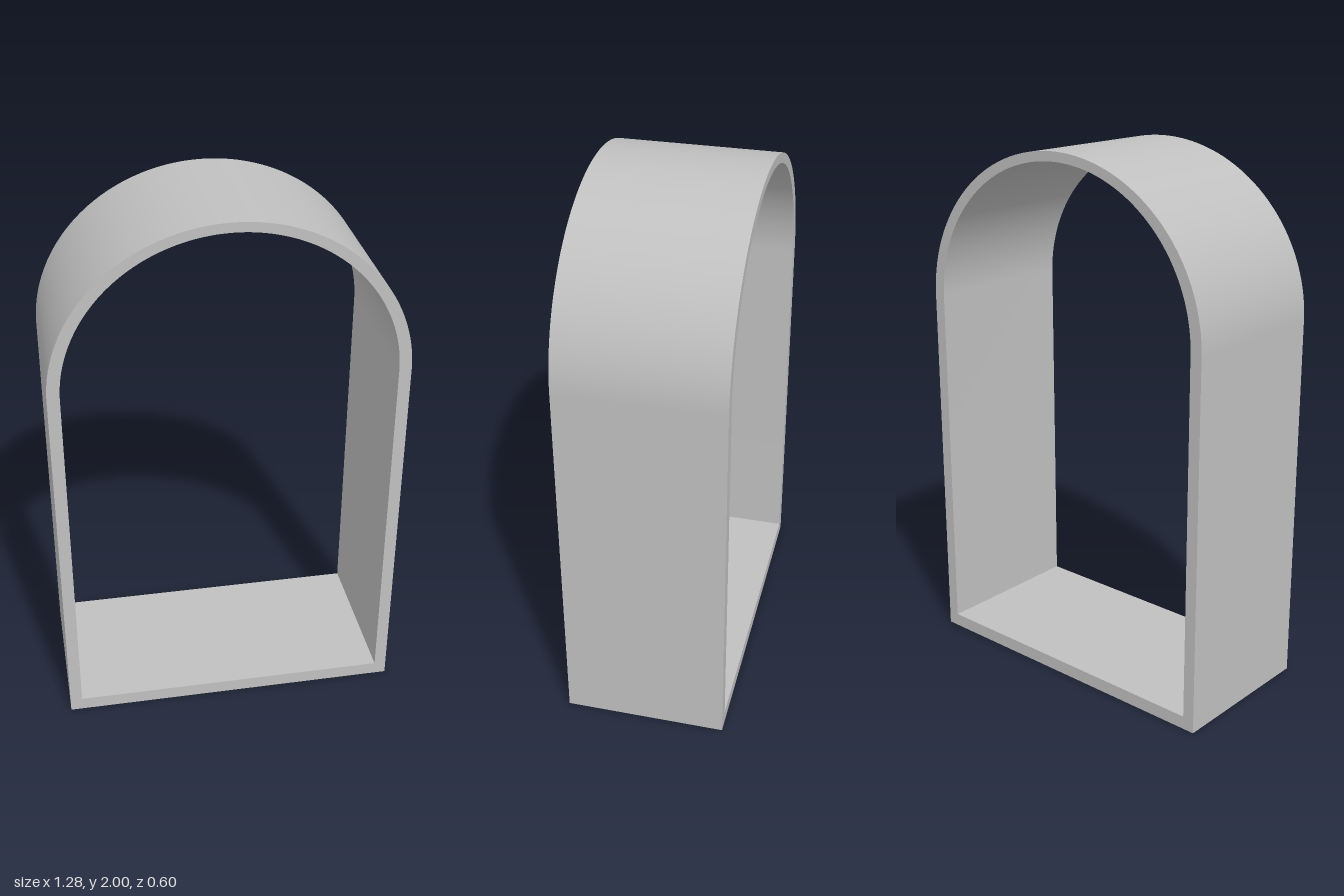
import * as THREE from 'three';
import { toCreasedNormals } from 'three/addons/utils/BufferGeometryUtils.js';

const DEPTH = 0.6;
const SPRING = 1.4; // height where the straight sides meet the arch

// Straight-sided outline with a half-elliptical top
function archOutline(path, halfWidth, bottom, rise) {
  path.moveTo(-halfWidth, bottom);
  path.lineTo(halfWidth, bottom);
  path.lineTo(halfWidth, SPRING);
  path.absellipse(0, SPRING, halfWidth, rise, 0, Math.PI, false, 0);
  path.closePath();
  return path;
}

export function createModel() {
  const group = new THREE.Group();
  group.name = 'archedFrame';

  const grey = new THREE.MeshStandardMaterial({ color: 0xc0c0c0 });
  grey.name = 'light grey';

  // Walls, floor and arch in one open-ended shell
  const shape = archOutline(new THREE.Shape(), 0.638, 0, 0.6);
  shape.holes.push(archOutline(new THREE.Path(), 0.593, 0.05, 0.565));

  const geometry = new THREE.ExtrudeGeometry(shape, {
    depth: DEPTH,
    bevelEnabled: false,
    curveSegments: 64,
  });
  geometry.translate(0, 0, -DEPTH / 2);

  const frame = new THREE.Mesh(toCreasedNormals(geometry, Math.PI / 6), grey);
  frame.name = 'archShell';
  group.add(frame);
  return group;
}
